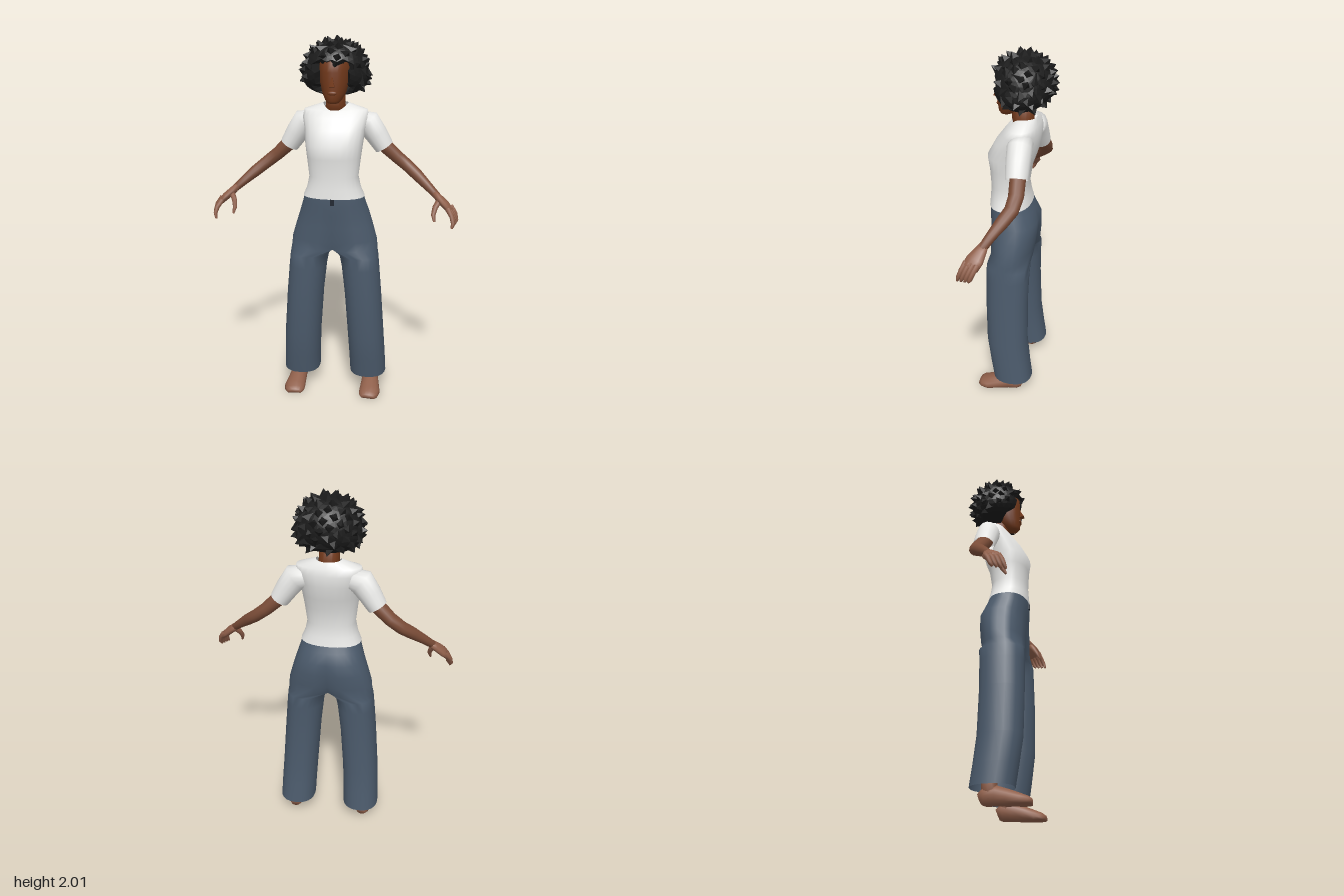
import * as THREE from 'three';
import { mergeGeometries, mergeVertices } from 'three/addons/utils/BufferGeometryUtils.js';

const mat = (name, color, extra = {}) => new THREE.MeshStandardMaterial({ name, color, roughness: 1, ...extra });

const V = (x, y, z) => new THREE.Vector3(x, y, z);
const sPow = (v, p) => Math.sign(v) * Math.abs(v) ** (2 / p);

function geometryFrom(points, index) {
  const g = new THREE.BufferGeometry();
  g.setAttribute('position', new THREE.Float32BufferAttribute(points.flatMap(p => [p.x, p.y, p.z]), 3));
  g.setIndex(index);
  g.computeVertexNormals();
  return g;
}

// Smooth skin over closed rings of equal size, with optional end caps
function loft(rings, capStart = true, capEnd = true) {
  const n = rings[0].length, points = rings.flat(), index = [];
  for (let i = 0; i < rings.length - 1; i++)
    for (let k = 0; k < n; k++) {
      const a = i * n + k, b = i * n + (k + 1) % n;
      index.push(a, b, b + n, a, b + n, a + n);
    }
  const cap = (i, flip) => {
    const c = points.length;
    points.push(rings[i].reduce((s, p) => s.add(p), V(0, 0, 0)).divideScalar(n));
    for (let k = 0; k < n; k++) {
      const a = i * n + k, b = i * n + (k + 1) % n;
      index.push(c, flip ? b : a, flip ? a : b);
    }
  };
  if (capStart) cap(0, true);
  if (capEnd) cap(rings.length - 1, false);
  return geometryFrom(points, index);
}

// Horizontal ring: height, half width, front z, back z, squareness, dip at the front
function levelRing([y, hw, zf, zb, p = 2.3, dip = 0], n = 24) {
  return Array.from({ length: n }, (_, k) => {
    const a = k / n * Math.PI * 2, s = -sPow(Math.sin(a), p);
    return V(sPow(Math.cos(a), p) * hw, y - dip * Math.max(0, s) ** 2, (zf + zb) / 2 + s * (zf - zb) / 2);
  });
}

// Limb along sections [x, y, z, radius1, radius2]
function limb(sections, n = 12, ref = V(0, 0, 1)) {
  const c = sections.map(s => V(s[0], s[1], s[2]));
  return sections.map((s, i) => {
    const t = c[Math.min(i + 1, c.length - 1)].clone().sub(c[Math.max(i - 1, 0)]).normalize();
    const u = t.clone().cross(ref).normalize(), v = t.clone().cross(u);
    return Array.from({ length: n }, (_, k) => {
      const a = k / n * Math.PI * 2;
      return c[i].clone().addScaledVector(u, Math.cos(a) * s[3]).addScaledVector(v, Math.sin(a) * s[4]);
    });
  });
}

// Both trouser legs joined at the crotch: [y, inner x, outer x, front z, back z, centre crease]
function trouserGeometry(levels, n = 24) {
  const half = levels.flatMap(([y, xi, xo, zf, zb, crease = 0]) => Array.from({ length: n }, (_, k) => {
    const a = k / n * Math.PI * 2, zm = (zf + zb) / 2, zr = (zf - zb) / 2;
    const cs = sPow(Math.cos(a), 2.3), z = -sPow(Math.sin(a), 2.3) * zr;
    if (xi > 0) return V((xi + xo) / 2 + cs * (xo - xi) / 2, y, zm + z);
    return cs < 1e-4 ? V(0, y, zm + z * (1 - crease)) : V(cs * xo, y, zm + z);
  }));
  const points = [...half, ...half.map(p => V(-p.x, p.y, p.z))], index = [];
  for (let i = 0; i < levels.length - 1; i++)
    for (let k = 0; k < n; k++) {
      const a = i * n + k, b = i * n + (k + 1) % n, c = b + n, d = a + n, m = half.length;
      if ([a, b, c, d].every(j => points[j].x === 0)) continue;
      index.push(a, b, c, a, c, d, m + a, m + c, m + b, m + a, m + d, m + c);
    }
  const g = geometryFrom(points, index);
  g.deleteAttribute('normal');
  const joined = mergeVertices(g, 1e-4);
  joined.computeVertexNormals();
  return joined;
}

// Faceted hair cap with an opening for the face, covered in short tufts
function hairGeometry() {
  let seed = 7;
  const rnd = () => (seed = (seed * 16807) % 2147483647) / 2147483647;
  const centre = V(0, 1.842, -0.015), size = V(0.168, 0.142, 0.157);
  const cap = new THREE.IcosahedronGeometry(1, 5), pos = cap.attributes.position, p = V(0, 0, 0);
  for (let i = 0; i < pos.count; i++) {
    p.fromBufferAttribute(pos, i);
    const wide = p.y < 0 ? 1 - p.y * 0.35 : 1;
    p.multiply(size).add(centre);
    p.x *= wide;
    if (p.y < 1.875 && Math.abs(p.x) < 0.088) p.z = Math.min(p.z, 0.015);
    if (p.y < 1.76) p.z = Math.min(p.z, 0.07);
    pos.setXYZ(i, p.x, p.y, p.z);
  }
  const parts = [cap.toNonIndexed ? (cap.index ? cap.toNonIndexed() : cap) : cap];
  const count = 120;
  for (let i = 0; i < count; i++) {
    const y = 1 - 2 * (i + 0.5) / count, r = Math.sqrt(1 - y * y), a = i * 2.39996;
    const dir = V(Math.cos(a) * r, y, Math.sin(a) * r);
    const jitter = V(rnd() - 0.5, rnd() - 0.5, rnd() - 0.5);
    if ((dir.z > -0.1 && dir.y < 0.42 && Math.abs(dir.x) < 0.72) || dir.y < -0.8) continue;
    const base = dir.clone().multiply(size).multiplyScalar(0.86).add(centre);
    if (dir.y < 0) base.x *= 1 - dir.y * 0.35;
    const tuft = new THREE.ConeGeometry(0.045, 0.062, 4).translate(0, 0.02, 0);
    tuft.applyQuaternion(new THREE.Quaternion().setFromUnitVectors(V(0, 1, 0), dir.clone().addScaledVector(jitter, 0.9).normalize()));
    parts.push(tuft.translate(base.x, base.y, base.z).toNonIndexed());
  }
  return mergeGeometries(parts);
}

export function createModel() {
  const model = new THREE.Group();
  const both = { side: THREE.DoubleSide };
  const shirtWhite = mat('shirt white', 0xebebe9, both), denim = mat('denim blue', 0x4b5a6b, both);
  const faceSkin = mat('face skin', 0x72391b), armSkin = mat('arm skin', 0x7a4c37), handSkin = mat('hand and foot skin', 0x8f5f4a);
  const hairBlack = mat('hair black', 0x1b1b1b, { flatShading: true, side: THREE.DoubleSide }), tabDark = mat('tab dark', 0x1f2630);
  const add = (name, geometry, material, parent = model) => {
    const mesh = new THREE.Mesh(geometry, material);
    mesh.name = name;
    parent.add(mesh);
    return mesh;
  };

  // Clothing on the trunk and legs
  add('shirt', loft([
    [1.168, 0.168, 0.163, -0.065], [1.215, 0.148, 0.16, -0.055], [1.28, 0.134, 0.156, -0.045],
    [1.38, 0.146, 0.162, -0.06], [1.45, 0.155, 0.173, -0.085], [1.53, 0.165, 0.13, -0.105],
    [1.59, 0.18, 0.085, -0.11], [1.628, 0.172, 0.055, -0.1], [1.662, 0.068, 0.045, -0.085, 2, 0.04],
  ].map(r => levelRing(r)), false, false), shirtWhite);
  add('trousers', trouserGeometry([
    [0.09, 0.092, 0.3, 0.11, -0.115], [0.2, 0.088, 0.295, 0.128, -0.1], [0.35, 0.08, 0.286, 0.15, -0.083],
    [0.6, 0.062, 0.268, 0.157, -0.078], [0.76, 0.044, 0.254, 0.157, -0.082], [0.83, 0.03, 0.247, 0.157, -0.086],
    [0.868, 0, 0.243, 0.153, -0.09, 0.3], [0.92, 0, 0.238, 0.154, -0.1, 0.16], [1, 0, 0.215, 0.154, -0.108, 0.08],
    [1.07, 0, 0.193, 0.156, -0.108, 0.03], [1.13, 0, 0.174, 0.16, -0.08], [1.175, 0, 0.161, 0.16, -0.06],
  ]), denim);
  add('waistTab', new THREE.BoxGeometry(0.022, 0.034, 0.008).translate(0.006, 1.152, 0.162), tabDark);

  // Head, neck and hair
  add('neck', loft([[1.6, 0.06, 0.03, -0.08], [1.65, 0.054, 0.045, -0.07], [1.74, 0.052, 0.05, -0.07]].map(r => levelRing(r, 16))), faceSkin);
  add('head', loft([
    [1.67, 0.028, 0.105, 0.05], [1.685, 0.043, 0.116, 0.01], [1.72, 0.062, 0.12, -0.04], [1.78, 0.078, 0.121, -0.08],
    [1.83, 0.082, 0.12, -0.1], [1.88, 0.08, 0.116, -0.1], [1.94, 0.055, 0.075, -0.07],
  ].map(r => levelRing([...r, 2.1], 20))), faceSkin);
  const nose = new THREE.ConeGeometry(0.019, 0.065, 4, 1).rotateY(Math.PI / 4).rotateX(-0.25);
  add('nose', nose.translate(0, 1.79, 0.122), faceSkin);
  add('lips', new THREE.SphereGeometry(1, 10, 6).scale(0.025, 0.011, 0.008).translate(0, 1.725, 0.119), faceSkin);
  add('hair', hairGeometry(), hairBlack);

  // Arms and feet, built on the left and mirrored
  for (const side of [1, -1]) {
    const limbs = new THREE.Group();
    limbs.name = side > 0 ? 'leftLimbs' : 'rightLimbs';
    limbs.scale.x = side;
    model.add(limbs);
    add('sleeve', loft(limb([
      [0.125, 1.565, -0.035, 0.055, 0.062], [0.175, 1.553, -0.037, 0.071, 0.066],
      [0.22, 1.49, -0.04, 0.062, 0.064], [0.263, 1.423, -0.045, 0.053, 0.06],
    ], 16), true, false), shirtWhite, limbs);
    add('arm', loft(limb([
      [0.2, 1.49, -0.045, 0.04, 0.042], [0.27, 1.425, -0.052, 0.04, 0.042], [0.335, 1.365, -0.06, 0.036, 0.041],
      [0.395, 1.318, -0.052, 0.034, 0.039], [0.45, 1.275, -0.018, 0.032, 0.035], [0.51, 1.225, 0.022, 0.025, 0.027],
      [0.56, 1.182, 0.052, 0.02, 0.024],
    ])), armSkin, limbs);
    add('palm', loft(limb([
      [0.545, 1.195, 0.045, 0.019, 0.024], [0.57, 1.172, 0.058, 0.021, 0.034],
      [0.605, 1.142, 0.075, 0.021, 0.046], [0.635, 1.112, 0.092, 0.016, 0.044],
    ])), handSkin, limbs);
    for (let i = 0; i < 4; i++) {
      const z = -0.021 * i, x = 0.006 * i;
      add('finger', loft(limb([
        [0.615 + x, 1.132, 0.118 + z, 0.014, 0.014], [0.64 + x, 1.095, 0.135 + z, 0.013, 0.013],
        [0.648 + x, 1.062, 0.148 + z, 0.011, 0.011], [0.642 + x, 1.034 + 0.004 * i, 0.157 + z, 0.006, 0.007],
      ], 8)), handSkin, limbs);
    }
    add('thumb', loft(limb([
      [0.572, 1.165, 0.072, 0.016, 0.018], [0.551, 1.13, 0.1, 0.015, 0.015],
      [0.543, 1.095, 0.122, 0.012, 0.012], [0.55, 1.062, 0.138, 0.006, 0.006],
    ], 8)), handSkin, limbs);

    // Flat-soled foot and ankle
    const foot = limb([
      [0.208, 0.035, -0.06, 0.025, 0.03], [0.21, 0.045, -0.035, 0.043, 0.048], [0.212, 0.045, 0.02, 0.046, 0.052],
      [0.216, 0.03, 0.08, 0.053, 0.046], [0.22, 0.015, 0.14, 0.06, 0.038], [0.216, 0.01, 0.175, 0.055, 0.03],
      [0.214, 0.008, 0.195, 0.04, 0.018],
    ], 14, V(0, 1, 0));
    foot.flat().forEach(p => { p.y = Math.max(0, p.y); });
    add('foot', loft(foot), handSkin, limbs);
    add('ankle', loft([[0.03, 0.042, 0.035, -0.05], [0.1, 0.04, 0.025, -0.052], [0.3, 0.045, 0.05, -0.045]]
      .map(r => levelRing(r, 14).map(p => p.setX(p.x + 0.211)))), handSkin, limbs);
  }
  return model;
}
